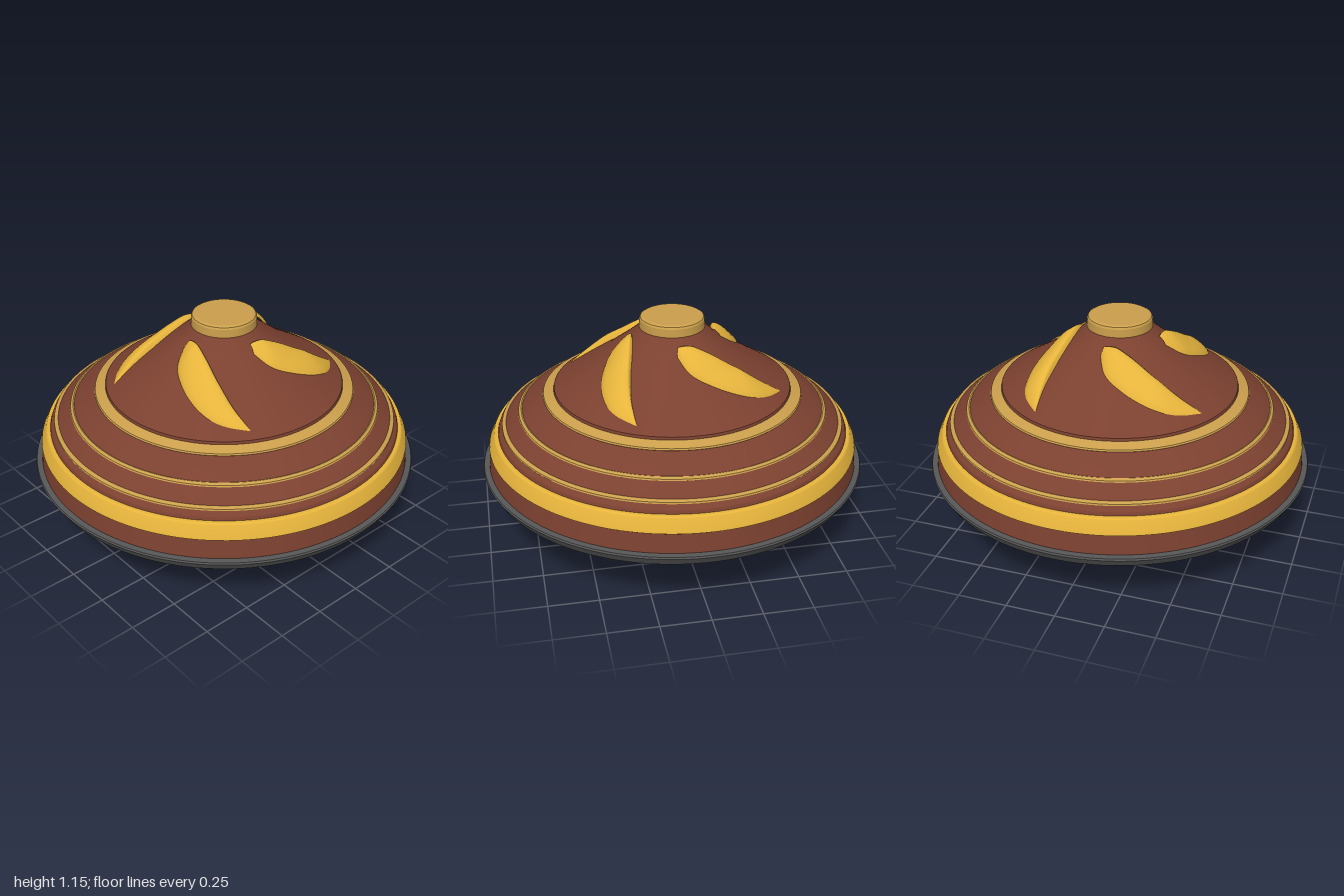
import * as THREE from 'three';
import { toCreasedNormals } from 'three/addons/utils/BufferGeometryUtils.js';

const material = (color) => new THREE.MeshStandardMaterial({ color });
const brown = material(0x7c4130);
const gold = material(0xe6b43c);
const brass = material(0xcb9f4c);
const steel = material(0x575757);

// Upper cone profile as [radius, height]
const CONE = [[0.61, 0.775], [0.49, 0.85], [0.364, 0.93], [0.25, 1.015], [0.2, 1.055], [0.165, 1.09]];

function coneHeight(r) {
  for (let i = 1; i < CONE.length; i++) {
    const [r0, y0] = CONE[i - 1], [r1, y1] = CONE[i];
    if (r >= r1) return y0 + (y1 - y0) * (r0 - r) / (r0 - r1);
  }
  return CONE[CONE.length - 1][1];
}

// Turned part; points run from bottom to top
function turned(name, points, mat, segments = 128) {
  const lathe = new THREE.LatheGeometry(points.map(([r, y]) => new THREE.Vector2(r, y)), segments);
  const mesh = new THREE.Mesh(toCreasedNormals(lathe, 0.3), mat);
  mesh.name = name;
  return mesh;
}

// Shallow underside with pleats around a scalloped rosette
function underside() {
  const petals = 16, edge = 0.37;
  const profile = [[0.07, 0.127], [0.1, 0.138], [0.17, 0.163], [0.24, 0.188], [0.31, 0.213], [0.355, 0.229], [edge, 0.236],
    [0.372, 0.245], [0.42, 0.251], [0.48, 0.26], [0.55, 0.271], [0.63, 0.284], [0.72, 0.298], [0.83, 0.316], [0.965, 0.335]];
  const geo = new THREE.LatheGeometry(profile.map(([r, y]) => new THREE.Vector2(r, y)), petals * 16);
  const pos = geo.attributes.position;
  for (let i = 0; i < pos.count; i++) {
    const x = pos.getX(i), z = pos.getZ(i), r = Math.hypot(x, z);
    const turn = (Math.atan2(x, z) / (2 * Math.PI) + 1) * petals;
    const p = Math.abs((turn % 1) * 2 - 1);
    const fade = r <= edge ? THREE.MathUtils.smoothstep(r, 0.08, 0.25)
      : 1 - THREE.MathUtils.smoothstep(r, edge, 0.75);
    const shrink = 1 - 0.1 * (1 - Math.sqrt(1 - p * p)) * THREE.MathUtils.smoothstep(r, 0.1, 0.3)
      * (1 - THREE.MathUtils.smoothstep(r, 0.38, 0.6));
    pos.setXYZ(i, x * shrink, pos.getY(i) + 0.012 * p ** 4 * fade, z * shrink);
  }
  const mesh = new THREE.Mesh(toCreasedNormals(geo, 0.5), brown);
  mesh.name = 'pleatedUnderside';
  return mesh;
}

// Curved blade swelling out of the cone between two edge curves (x, z)
function bladeGeometry() {
  const curve = (pts) => new THREE.SplineCurve(pts.map(([x, z]) => new THREE.Vector2(x, z)));
  const inner = curve([[-0.012, 0.205], [0.05, 0.208], [0.14, 0.225], [0.25, 0.25], [0.38, 0.268], [0.505, 0.264]]);
  const outer = curve([[-0.02, 0.25], [0.03, 0.33], [0.14, 0.382], [0.25, 0.4], [0.35, 0.387], [0.43, 0.345], [0.505, 0.272]]);
  const geo = new THREE.PlaneGeometry(1, 1, 32, 16);
  const pos = geo.attributes.position, uv = geo.attributes.uv;
  for (let i = 0; i < pos.count; i++) {
    const u = uv.getX(i), v = 1 - uv.getY(i);
    const p = inner.getPoint(u).lerp(outer.getPoint(u), v);
    const across = Math.max(0, Math.sin(Math.PI * v ** 0.7)) ** 0.55;
    const along = Math.min(1, 0.35 + 3 * u, 0.1 + 2.5 * (1 - u));
    pos.setXYZ(i, p.x, coneHeight(p.length()) - 0.006 + 0.05 * across * along, p.y);
  }
  geo.computeVertexNormals();
  return geo;
}

export function createModel() {
  const model = new THREE.Group();
  model.name = 'spinningTop';

  // Stepped body
  model.add(turned('body', [[0.955, 0.34], [0.968, 0.37], [0.955, 0.465], [0.93, 0.47], [0.912, 0.54], [0.905, 0.56],
    [0.885, 0.58], [0.865, 0.598], [0.8, 0.648], [0.782, 0.663], [0.675, 0.73], [0.66, 0.738],
    [0.615, 0.755], ...CONE, [0, 1.09]], brown));

  // Gold bands
  model.add(turned('wideBand', [[0.95, 0.463], [0.962, 0.47], [0.958, 0.485], [0.932, 0.537], [0.926, 0.542], [0.905, 0.544]], gold));
  const rings = [
    [[0.875, 0.575], [0.889, 0.583], [0.887, 0.591], [0.874, 0.597], [0.862, 0.596]],
    [[0.79, 0.645], [0.801, 0.652], [0.798, 0.659], [0.785, 0.667], [0.775, 0.663]],
    [[0.66, 0.728], [0.67, 0.737], [0.666, 0.745], [0.618, 0.762], [0.605, 0.76]],
  ];
  rings.forEach((points, i) => model.add(turned(`ring${i + 1}`, points, brass)));

  // Cap on the summit
  model.add(turned('cap', [[0.15, 1.08], [0.167, 1.088], [0.165, 1.13], [0.16, 1.14], [0.148, 1.146], [0, 1.146]], brass, 64));

  // Four swirling blades
  const blade = bladeGeometry();
  for (let i = 0; i < 4; i++) {
    const mesh = new THREE.Mesh(blade, gold);
    mesh.name = `blade${i + 1}`;
    mesh.rotation.y = i * Math.PI / 2;
    model.add(mesh);
  }

  // Metal rim, underside, washer and point
  model.add(turned('rim', [[0.945, 0.333], [0.955, 0.316], [0.975, 0.314], [1, 0.358], [0.996, 0.367], [0.955, 0.37]], steel));
  model.add(underside());
  model.add(turned('washer', [[0, 0.114], [0.1, 0.114], [0.104, 0.118], [0.104, 0.136], [0.1, 0.14], [0, 0.14]], steel, 48));
  model.add(turned('point', [[0, 0], [0.008, 0.01], [0.03, 0.07], [0.046, 0.116]], steel, 32));
  return model;
}
